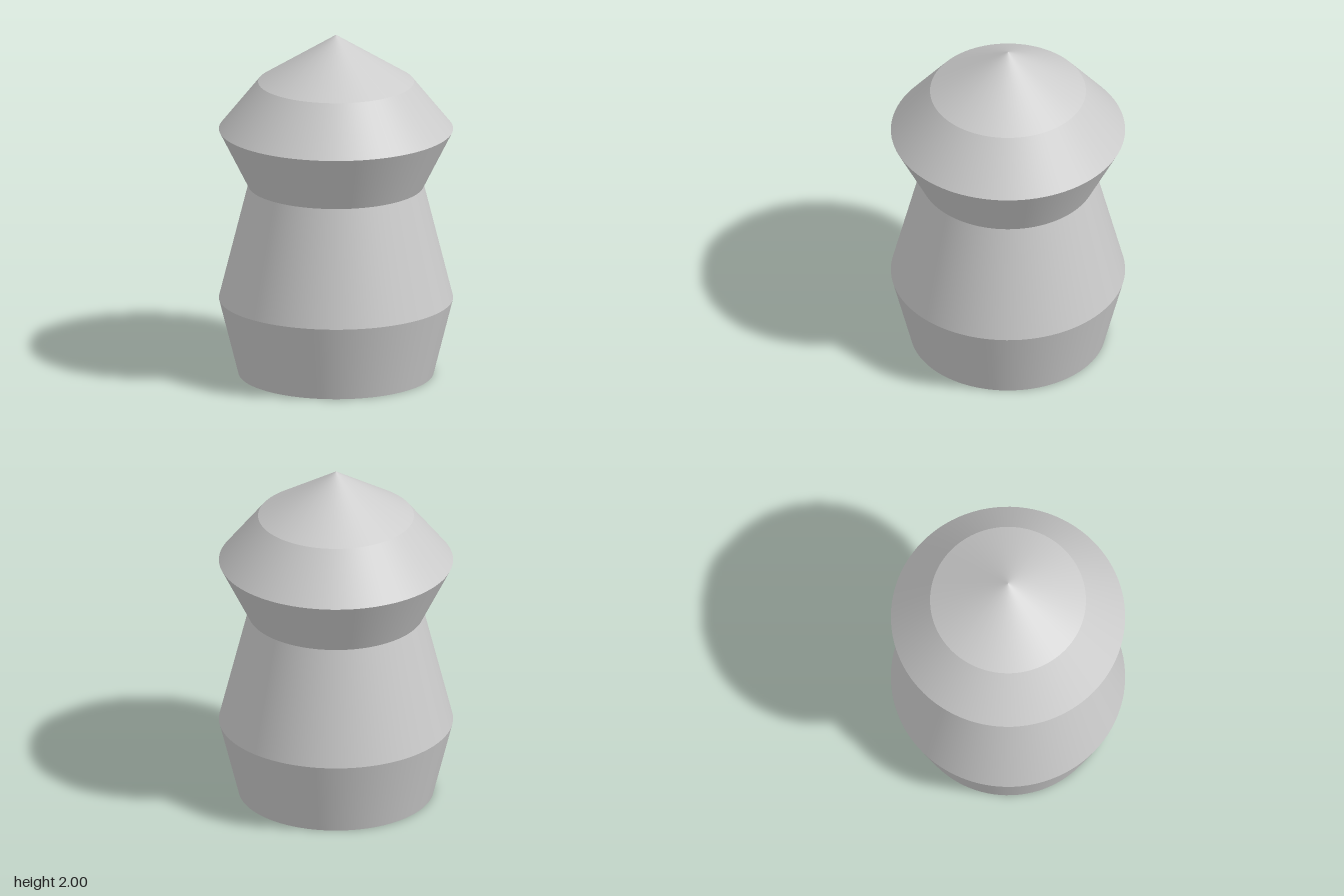
import * as THREE from 'three';

const SEGMENTS = 96;

export function createModel() {
  const group = new THREE.Group();
  const material = new THREE.MeshStandardMaterial({ color: 0xcccccc });

  const add = (name, geometry) => {
    const mesh = new THREE.Mesh(geometry, material);
    mesh.name = name;
    group.add(mesh);
    return mesh;
  };

  // Conical bands from the ground up: name, bottom radius, top radius, bottom y, top y
  const bands = [
    ['lowerBody', 0.556, 0.667, 0, 0.444],
    ['upperBody', 0.667, 0.5, 0.444, 1.111],
    ['collar', 0.5, 0.667, 1.111, 1.444],
    ['shoulder', 0.667, 0.444, 1.444, 1.722],
    ['tip', 0.444, 0, 1.722, 2],
  ];
  for (const [name, rBottom, rTop, y0, y1] of bands) {
    const geometry = new THREE.CylinderGeometry(rTop, rBottom, y1 - y0, SEGMENTS, 1, true);
    add(name, geometry).position.y = (y0 + y1) / 2;
  }

  // Flat underside, with its rim matching the lowest band
  add('base', new THREE.CircleGeometry(0.556, SEGMENTS).rotateX(Math.PI / 2));

  return group;
}
